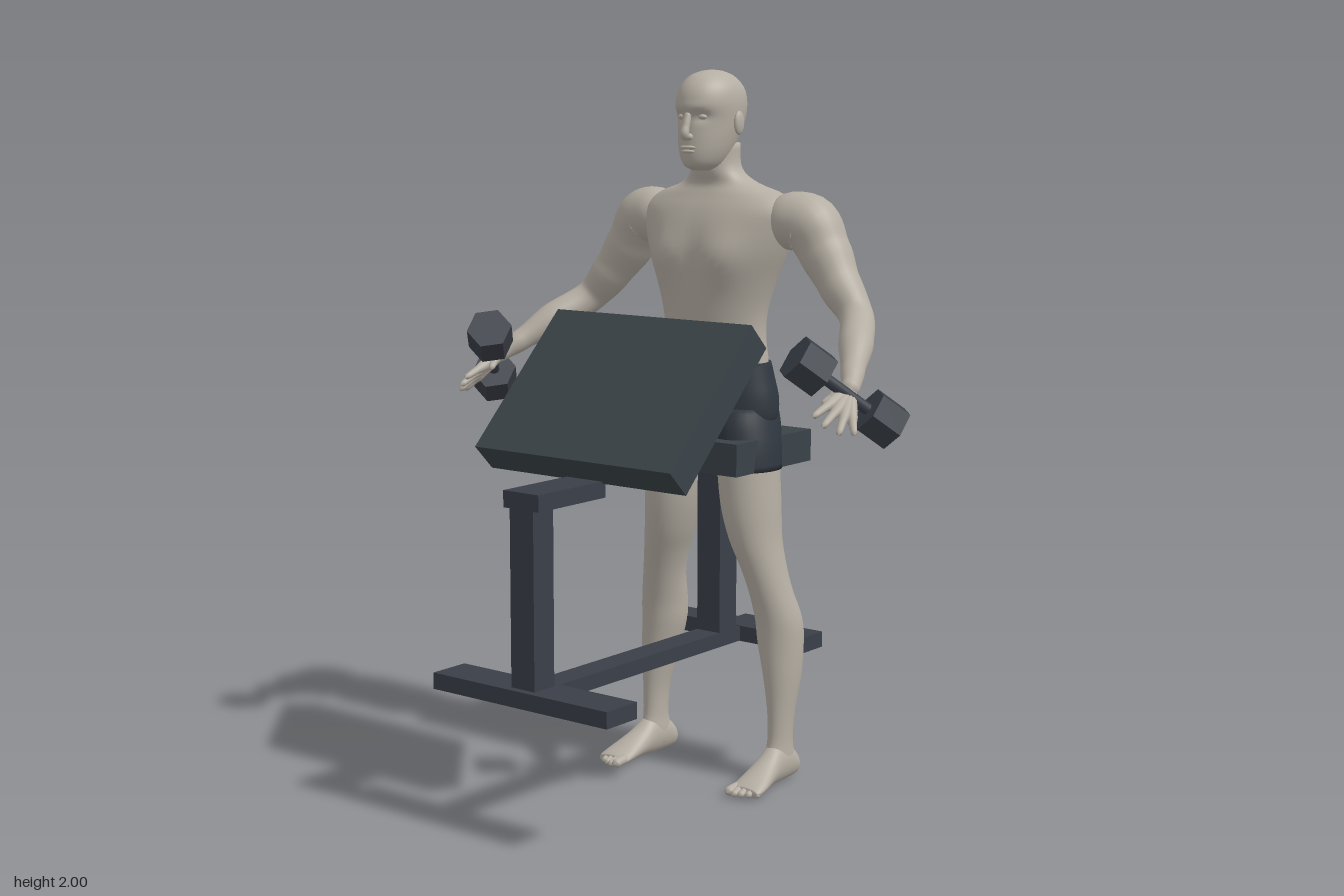
import * as THREE from 'three';
import { mergeVertices, mergeGeometries, toCreasedNormals } from 'three/addons/utils/BufferGeometryUtils.js';

const V = (x, y, z) => new THREE.Vector3(x, y, z);
const gauss = (d, w) => Math.exp(-(d * d) / (w * w));

// Smooth body from rings [along, centreX, halfWidth, a, b]; a..b is the z span (axis y) or y span (axis z).
function loft(rings, axis = 'y', rule = null, n = 32, steps = 4) {
  rings = [...rings].sort((a, b) => a[0] - b[0]);
  const spline = new THREE.CubicInterpolant(rings.map((_, i) => i), rings.flat(), 5);
  const rows = (rings.length - 1) * steps, pos = [], idx = [];
  const put = (along, x, w) => {
    const p = axis === 'y' ? V(x, along, w) : V(x, w, along);
    if (rule) rule(p);
    pos.push(p.x, p.y, p.z);
  };
  for (let i = 0; i <= rows; i++) {
    const [along, cx, rx, a, b] = spline.evaluate(i / steps);
    const mid = (a + b) / 2, h = Math.abs(a - b) / 2;
    for (let j = 0; j < n; j++) {
      const t = j / n * Math.PI * 2;
      put(along, cx + rx * Math.cos(t), mid + h * Math.sin(t));
    }
  }
  const tri = (a, b, c) => (axis === 'y' ? idx.push(a, c, b) : idx.push(a, b, c));
  for (let i = 0; i < rows; i++) for (let j = 0; j < n; j++) {
    const k = (j + 1) % n, a = i * n + j, b = i * n + k;
    tri(a, b, a + n); tri(b, b + n, a + n);
  }
  // end caps
  [[rings[0], 0], [rings[rings.length - 1], rows]].forEach(([r, row], e) => {
    const c = pos.length / 3;
    put(r[0], r[1], (r[3] + r[4]) / 2);
    for (let j = 0; j < n; j++) {
      const a = row * n + j, b = row * n + (j + 1) % n;
      e ? tri(a, b, c) : tri(b, a, c);
    }
  });
  const g = new THREE.BufferGeometry();
  g.setAttribute('position', new THREE.Float32BufferAttribute(pos, 3));
  g.setIndex(idx);
  g.computeVertexNormals();
  return g;
}

// Tapered tube through points [x, y, z, radius], rounded at both ends; s mirrors x.
function limb(pts, s = 1, seg = 32, n = 16) {
  const curve = new THREE.CatmullRomCurve3(pts.map(p => V(p[0] * s, p[1], p[2])));
  let g = new THREE.TubeGeometry(curve, seg, 1, n);
  const P = g.attributes.position, v = V(), len = curve.getLength();
  for (let i = 0; i <= seg; i++) {
    const u = i / seg, c = curve.getPointAt(u);
    const k = curve.getUtoTmapping(u) * (pts.length - 1), f = Math.min(Math.floor(k), pts.length - 2);
    let r = THREE.MathUtils.lerp(pts[f][3], pts[f + 1][3], THREE.MathUtils.smoothstep(k - f, 0, 1));
    const d = Math.min(u, 1 - u) * len;
    if (d < r) r *= Math.max(0.03, Math.sqrt(1 - (1 - d / r) ** 2));
    for (let j = 0; j <= n; j++) {
      const q = i * (n + 1) + j;
      v.fromBufferAttribute(P, q).sub(c).multiplyScalar(r).add(c);
      P.setXYZ(q, v.x, v.y, v.z);
    }
  }
  g.deleteAttribute('uv'); g.deleteAttribute('normal');
  g = mergeVertices(g, 1e-5);
  g.computeVertexNormals();
  return g;
}

const ball = (x, y, z, rx, ry, rz) => new THREE.SphereGeometry(1, 20, 14).scale(rx, ry, rz).translate(x, y, z);

export function createModel() {
  const model = new THREE.Group();
  const mat = (name, color) => {
    const m = new THREE.MeshStandardMaterial({ color });
    m.name = name;
    return m;
  };
  const skin = mat('skin', 0xb5aea3), cloth = mat('shorts cloth', 0x30373f);
  const steel = mat('steel', 0x3a3f48), padding = mat('padding', 0x3a4348);
  const add = (name, geo, m) => {
    const mesh = new THREE.Mesh(geo, m);
    mesh.name = name;
    model.add(mesh);
    return mesh;
  };
  // box given by its extents
  const box = (name, x, y0, y1, z0, z1, m) =>
    add(name, new THREE.BoxGeometry(2 * x, y1 - y0, z1 - z0).translate(0, (y0 + y1) / 2, (z0 + z1) / 2), m);

  // bench
  box('frontFoot', 0.30, 0.365, 0.41, 0.41, 0.53, steel);
  box('rearFoot', 0.263, 0.366, 0.411, -0.483, -0.39, steel);
  box('baseRail', 0.04, 0.367, 0.409, -0.527, 0.42, steel);
  box('frontPost', 0.04, 0.40, 0.89, 0.43, 0.508, steel);
  box('topArm', 0.06, 0.885, 0.93, 0.243, 0.51, steel);
  box('seatPost', 0.04, 0.40, 0.91, -0.37, -0.29, steel);
  box('seat', 0.193, 0.897, 0.988, -0.517, -0.157, padding);
  const board = add('armPad', new THREE.BoxGeometry(0.67, 0.095, 0.49), padding);
  board.position.set(0, 1.13, 0.113);
  board.rotation.x = Math.PI / 4;

  // torso and neck, with chest, sternum and spine shaping
  add('torso', loft([
    [1.10, 0, 0.17, -0.225, -0.425], [1.19, 0, 0.168, -0.218, -0.423], [1.27, 0, 0.16, -0.214, -0.42],
    [1.34, 0, 0.166, -0.207, -0.425], [1.42, 0, 0.19, -0.2, -0.44], [1.50, 0, 0.222, -0.198, -0.452],
    [1.57, 0, 0.245, -0.21, -0.458], [1.62, 0, 0.25, -0.228, -0.45], [1.66, 0, 0.205, -0.25, -0.435],
    [1.69, 0, 0.12, -0.262, -0.41], [1.73, 0, 0.073, -0.25, -0.388], [1.80, 0, 0.066, -0.245, -0.385],
  ], 'y', p => {
    if (p.z > -0.32) {
      p.z += 0.02 * gauss(Math.abs(p.x) - 0.1, 0.06) * gauss(p.y - 1.49, 0.07);
      p.z -= 0.007 * gauss(p.x, 0.02) * gauss(p.y - 1.42, 0.17);
    } else {
      p.z += 0.016 * gauss(p.x, 0.025) * gauss(p.y - 1.4, 0.2);
      p.z -= 0.01 * gauss(Math.abs(p.x) - 0.13, 0.06) * gauss(p.y - 1.56, 0.08);
    }
  }, 48), skin);

  // head
  add('head', loft([
    [1.725, 0, 0.025, -0.22, -0.30], [1.74, 0, 0.047, -0.193, -0.325], [1.77, 0, 0.064, -0.184, -0.35],
    [1.81, 0, 0.076, -0.184, -0.375], [1.86, 0, 0.085, -0.187, -0.40], [1.91, 0, 0.088, -0.178, -0.41],
    [1.95, 0, 0.08, -0.19, -0.40], [1.98, 0, 0.058, -0.218, -0.37], [1.995, 0, 0.03, -0.255, -0.335],
    [2.0, 0, 0.004, -0.29, -0.30],
  ], 'y', p => {
    // eye sockets and brow
    if (p.z > -0.25) {
      p.z -= 0.012 * gauss(Math.abs(p.x) - 0.036, 0.02) * gauss(p.y - 1.872, 0.014);
      p.z += 0.004 * gauss(p.x, 0.06) * gauss(p.y - 1.897, 0.012);
    }
  }, 48, 6), skin);
  add('nose', mergeGeometries([
    limb([[0, 1.885, -0.19, 0.01], [0, 1.85, -0.178, 0.011], [0, 1.825, -0.172, 0.013], [0, 1.812, -0.182, 0.01]]),
    limb([[-0.018, 1.818, -0.186, 0.009], [0, 1.818, -0.178, 0.01], [0.018, 1.818, -0.186, 0.009]]),
  ]), skin);
  add('lips', mergeGeometries([ball(0, 1.789, -0.187, 0.026, 0.006, 0.01), ball(0, 1.778, -0.188, 0.022, 0.006, 0.01)]), skin);

  // shorts, with a cleft at the back
  add('shorts', loft([
    [0.95, 0, 0.05, -0.25, -0.38], [0.985, 0, 0.14, -0.222, -0.415], [1.03, 0, 0.192, -0.21, -0.438],
    [1.09, 0, 0.197, -0.207, -0.447], [1.15, 0, 0.185, -0.21, -0.438], [1.195, 0, 0.175, -0.212, -0.43],
  ], 'y', p => {
    if (p.z < -0.33) p.z += 0.02 * gauss(p.x, 0.02) * gauss(p.y - 1.06, 0.08) - 0.01 * gauss(Math.abs(p.x) - 0.08, 0.05) * gauss(p.y - 1.07, 0.06);
  }, 48), cloth);

  for (const s of [1, -1]) {
    const side = s > 0 ? 'left' : 'right';
    add(side + 'Eye', ball(s * 0.034, 1.872, -0.207, 0.014, 0.008, 0.01), skin);
    add(side + 'Ear', ball(s * 0.09, 1.855, -0.3, 0.01, 0.033, 0.02).rotateX(0), skin);
    add(side + 'ShortsLeg', loft([
      [0.897, s * 0.127, 0.088, -0.205, -0.41], [0.96, s * 0.118, 0.092, -0.205, -0.418],
      [1.02, s * 0.108, 0.09, -0.208, -0.43], [1.07, s * 0.1, 0.085, -0.22, -0.43],
    ]), cloth);

    // leg
    add(side + 'Leg', loft([
      [0.03, s * 0.223, 0.03, -0.28, -0.395], [0.07, s * 0.224, 0.034, -0.275, -0.39],
      [0.12, s * 0.225, 0.031, -0.288, -0.378], [0.2, s * 0.225, 0.035, -0.29, -0.385],
      [0.3, s * 0.22, 0.05, -0.287, -0.41], [0.4, s * 0.209, 0.064, -0.284, -0.424],
      [0.47, s * 0.204, 0.065, -0.278, -0.42], [0.55, s * 0.19, 0.06, -0.262, -0.397],
      [0.62, s * 0.173, 0.062, -0.245, -0.39], [0.7, s * 0.151, 0.071, -0.225, -0.393],
      [0.8, s * 0.135, 0.081, -0.212, -0.403], [0.95, s * 0.122, 0.085, -0.21, -0.405],
    ]), skin);

    // foot and toes
    add(side + 'Foot', loft([
      [-0.412, s * 0.222, 0.012, 0.015, 0.045], [-0.395, s * 0.222, 0.03, 0.003, 0.075],
      [-0.35, s * 0.224, 0.035, 0, 0.11], [-0.3, s * 0.226, 0.036, 0, 0.112], [-0.25, s * 0.23, 0.041, 0.002, 0.082],
      [-0.19, s * 0.236, 0.049, 0, 0.052], [-0.155, s * 0.238, 0.05, 0, 0.036], [-0.14, s * 0.238, 0.044, 0.004, 0.028],
    ], 'z'), skin);
    add(side + 'Toes', mergeGeometries([0, 1, 2, 3, 4].map(i => {
      const x = 0.203 + i * 0.0185, tip = -0.108 - i * i * 0.002, r = i ? 0.0095 : 0.014;
      return limb([[x, 0.02, -0.17, r], [x, 0.018, tip - 0.025, r], [x, r, tip, r]], s, 14, 10);
    })), skin);

    // arm
    add(side + 'Arm', limb([
      [0.16, 1.59, -0.345, 0.07], [0.22, 1.59, -0.35, 0.08], [0.285, 1.58, -0.362, 0.084], [0.34, 1.505, -0.36, 0.072],
      [0.40, 1.42, -0.345, 0.059], [0.465, 1.345, -0.325, 0.047], [0.525, 1.285, -0.235, 0.047],
      [0.578, 1.222, -0.14, 0.032], [0.605, 1.19, -0.09, 0.025], [0.613, 1.175, -0.06, 0.024],
    ], s, 64, 24), skin);

    // hand: each finger runs wrist, knuckle, tip
    const fingers = [
      [[0.603, 1.158, -0.008], [0.60, 1.13, 0.075]], [[0.62, 1.145, -0.012], [0.625, 1.105, 0.068]],
      [[0.635, 1.133, -0.02], [0.655, 1.085, 0.04]], [[0.645, 1.125, -0.035], [0.675, 1.08, -0.003]],
      [[0.592, 1.175, -0.045], [0.573, 1.15, -0.005]],
    ];
    add(side + 'Hand', mergeGeometries(fingers.map(([k, t]) =>
      limb([[0.605, 1.19, -0.09, 0.017], [...k, 0.016], [...k.map((v, i) => (v + t[i]) / 2), 0.0105], [...t, 0.008]], s, 24, 10))), skin);

    // dumbbell
    const a = V(s * 0.55, 1.25, 0.022), b = V(s * 0.673, 1.108, -0.13);
    const bell = new THREE.Group();
    bell.name = side + 'Dumbbell';
    bell.position.copy(a).add(b).multiplyScalar(0.5);
    bell.quaternion.setFromUnitVectors(V(0, 1, 0), b.clone().sub(a).normalize());
    const half = a.distanceTo(b) / 2;
    const hex = toCreasedNormals(new THREE.CylinderGeometry(0.064, 0.064, 0.09, 6), 0.5);
    for (const e of [-1, 1]) {
      const head = new THREE.Mesh(hex, steel);
      head.name = 'dumbbellHead';
      head.position.y = e * half;
      bell.add(head);
    }
    const handle = new THREE.Mesh(new THREE.CylinderGeometry(0.016, 0.016, half * 2, 16), steel);
    handle.name = 'dumbbellHandle';
    bell.add(handle);
    model.add(bell);
  }
  return model;
}
